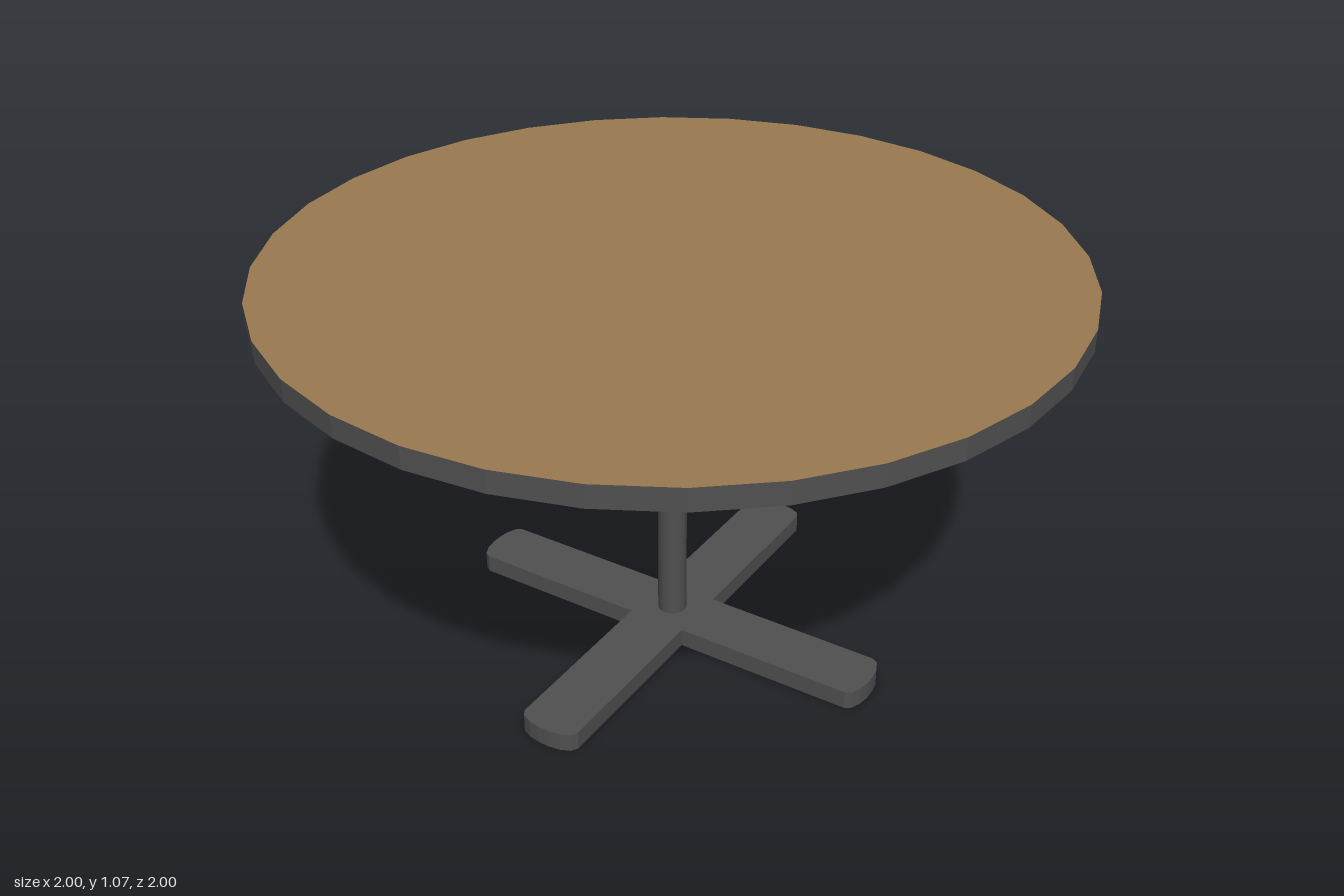
import * as THREE from 'three';

const BASE_H = 0.05, TOP_Y = 1.01, TOP_H = 0.055;

export function createModel() {
  const group = new THREE.Group();
  const dark = new THREE.MeshStandardMaterial({ color: 0x505050 });
  const darkFlat = new THREE.MeshStandardMaterial({ color: 0x505050, flatShading: true });
  const wood = new THREE.MeshStandardMaterial({ color: 0x9a7b50 });

  const add = (name, geometry, material, y) => {
    const mesh = new THREE.Mesh(geometry, material);
    mesh.name = name;
    mesh.position.y = y;
    group.add(mesh);
  };

  // Cross-shaped foot: one arm outline repeated by quarter turns
  const arm = [
    [0.08, -0.08], [0.562, -0.08], [0.578, -0.07], [0.589, -0.045], [0.594, -0.015],
    [0.594, 0.015], [0.589, 0.045], [0.578, 0.07], [0.562, 0.08],
  ];
  const outline = [];
  for (let i = 0; i < 4; i++) {
    for (const [x, y] of arm) {
      outline.push(new THREE.Vector2(x, y).rotateAround(new THREE.Vector2(), i * Math.PI / 2));
    }
  }
  const foot = new THREE.ExtrudeGeometry(new THREE.Shape(outline), { depth: BASE_H, bevelEnabled: false });
  foot.rotateX(-Math.PI / 2);
  add('crossFoot', foot, darkFlat, 0);

  // Round post between foot and table top
  const postH = TOP_Y - BASE_H;
  add('post', new THREE.CylinderGeometry(0.038, 0.038, postH, 24), dark, BASE_H + postH / 2);

  // Faceted round table top with a wooden upper face
  const top = new THREE.CylinderGeometry(1, 1, TOP_H, 32);
  add('tableTop', top, [darkFlat, wood, darkFlat], TOP_Y + TOP_H / 2);

  return group;
}
